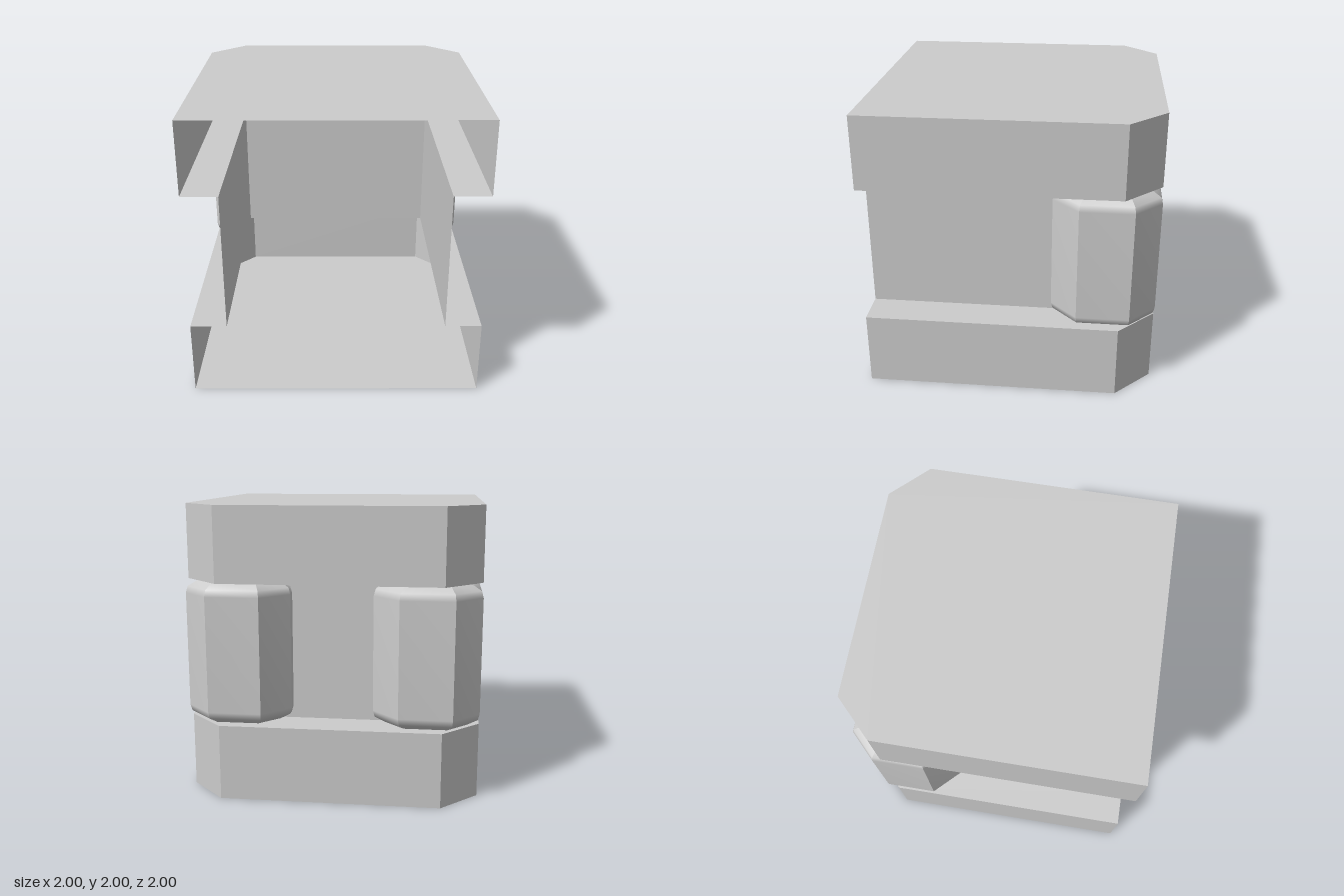
import * as THREE from 'three';

const LOW = 0.52, HIGH = 1.49;
const material = new THREE.MeshStandardMaterial({ color: 0xcccccc, side: THREE.DoubleSide });

// Open ribbon through stacked rows of [x, z] points: sharp between columns, smooth up each column.
function ribbon(name, rows) {
  const pos = [], idx = [];
  for (let i = 0; i < rows[0].points.length - 1; i++) {
    const base = pos.length / 3;
    rows.forEach(({ y, points }, r) => {
      const [a, b] = [points[i], points[i + 1]];
      pos.push(a[0], y, a[1], b[0], y, b[1]);
      if (r === 0) return;
      const k = base + 2 * (r - 1);
      idx.push(k, k + 3, k + 1, k, k + 2, k + 3);
    });
  }
  const g = new THREE.BufferGeometry();
  g.setAttribute('position', new THREE.Float32BufferAttribute(pos, 3));
  g.setIndex(idx);
  g.computeVertexNormals();
  const mesh = new THREE.Mesh(g, material);
  mesh.name = name;
  return mesh;
}

// Flat horizontal panel with the given [x, z] outline, facing up or down.
function panel(name, points, y, up) {
  const pts = points.map(([x, z]) => new THREE.Vector2(x, up ? -z : z));
  const g = new THREE.ShapeGeometry(new THREE.Shape(pts));
  g.rotateX(up ? -Math.PI / 2 : Math.PI / 2);
  const mesh = new THREE.Mesh(g, material);
  mesh.name = name;
  mesh.position.y = y;
  return mesh;
}

// Exposed part of an eight-sided corner pillar, inset by d; side is +1 (left) or -1 (right).
function pillarRing(side, d) {
  const c = 0.64, h = 0.36 - d, f = 0.18 - d * (Math.SQRT2 - 1), wall = 0.11;
  const ring = [
    [-h, -wall], [-h, -f], [-f, -h], [f, -h], [h, -f], [h, f], [f, h], [wall, h],
  ].map(([x, z]) => [side * (c + x), z - c]);
  return side > 0 ? ring : ring.reverse();
}

export function createModel() {
  const model = new THREE.Group();
  model.name = 'openFrontShell';

  // Outer outline with cut back corners, and the recessed waist; both open at the front
  const outer = [[-1, 1], [-1, -0.75], [-0.75, -1], [0.75, -1], [1, -0.75], [1, 1]];
  const waist = [[-0.75, 1], [-0.75, -0.75], [0.75, -0.75], [0.75, 1]];
  const wall = (name, points, y0, y1) => ribbon(name, [{ y: y0, points }, { y: y1, points }]);
  model.add(
    wall('lowerWall', outer, 0, LOW),
    wall('waistWall', waist, LOW, HIGH),
    wall('upperWall', outer, HIGH, 2),
  );

  // Floor, roof and the ledges joining the waist to the outer walls
  const ledge = [...outer, ...[...waist].reverse()];
  model.add(
    panel('floor', outer, 0, false),
    panel('lowerLedge', ledge, LOW, true),
    panel('upperLedge', ledge, HIGH, false),
    panel('roof', outer, 2, true),
  );

  // Rounded-end pillars wrapping the back corners of the waist
  const profile = [[0, 0.085], [0.045, 0.012], [0.09, 0]];
  const levels = [
    ...profile.map(([y, d]) => [LOW + y, d]),
    ...[...profile].reverse().map(([y, d]) => [HIGH - y, d]),
  ];
  for (const side of [1, -1]) {
    const rows = levels.map(([y, d]) => ({ y, points: pillarRing(side, d) }));
    model.add(ribbon(side > 0 ? 'leftPillar' : 'rightPillar', rows));
  }
  return model;
}
